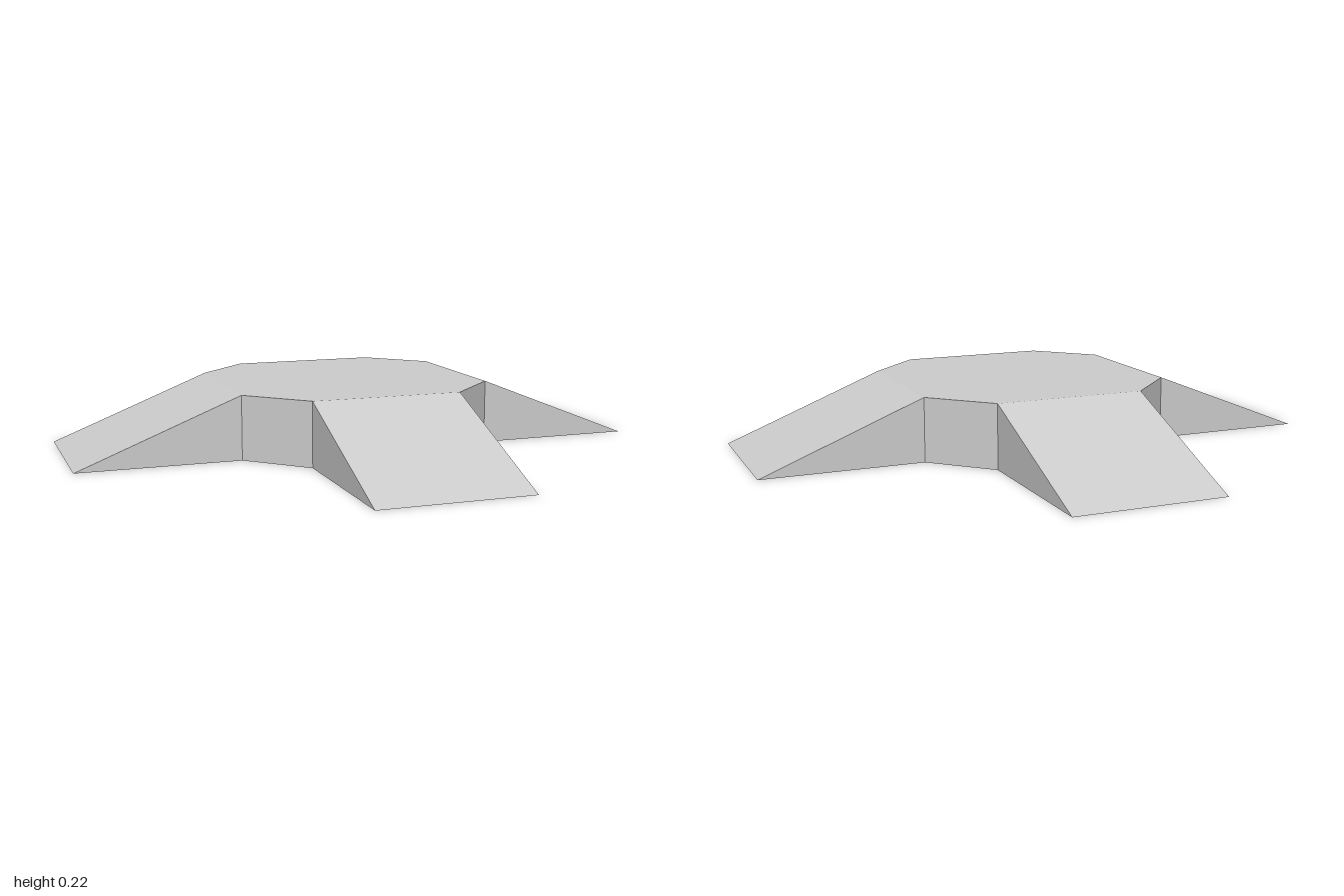
import * as THREE from 'three';

const HEIGHT = 0.22;      // platform height
const HALF_WIDTH = 0.26;  // half the width of a ramp
const REACH = 0.445;      // centre to the top edge of a ramp
const TIP = 1;            // centre to the foot of a ramp

function extrude(points, depth) {
  const shape = new THREE.Shape(points.map(([x, y]) => new THREE.Vector2(x, y)));
  return new THREE.ExtrudeGeometry(shape, { depth, bevelEnabled: false });
}

export function createModel() {
  const group = new THREE.Group();
  group.name = 'fourWayRamp';
  const material = new THREE.MeshStandardMaterial({ color: 0xcccccc, flatShading: true });

  // Platform: a square with chamfered corners
  const outline = [];
  for (let i = 0; i < 4; i++) {
    const c = Math.round(Math.cos(i * Math.PI / 2));
    const s = Math.round(Math.sin(i * Math.PI / 2));
    for (const w of [-HALF_WIDTH, HALF_WIDTH]) {
      outline.push([REACH * c - w * s, REACH * s + w * c]);
    }
  }
  const platform = new THREE.Mesh(extrude(outline, HEIGHT).rotateX(-Math.PI / 2), material);
  platform.name = 'platform';
  group.add(platform);

  // Ramps: one wedge turned to each of the four sides
  const wedge = extrude([[REACH, 0], [TIP, 0], [REACH, HEIGHT]], HALF_WIDTH * 2)
    .translate(0, 0, -HALF_WIDTH);
  ['leftRamp', 'backRamp', 'rightRamp', 'frontRamp'].forEach((name, i) => {
    const ramp = new THREE.Mesh(wedge, material);
    ramp.name = name;
    ramp.rotation.y = i * Math.PI / 2;
    group.add(ramp);
  });

  return group;
}
